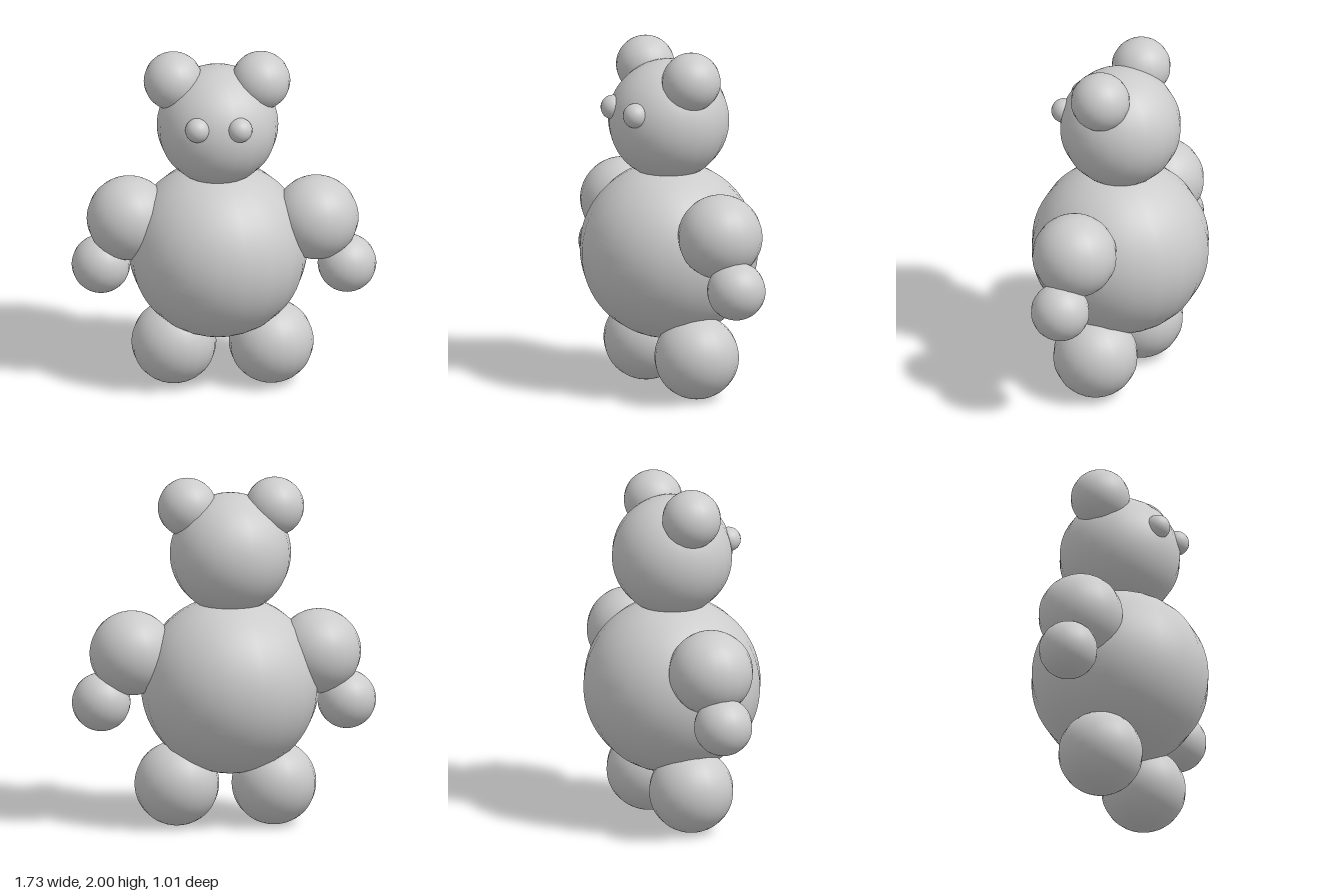
import * as THREE from 'three';

export function createModel() {
  const group = new THREE.Group();
  const material = new THREE.MeshStandardMaterial({ color: 0xcccccc });

  const ball = (name, r, x, y, z = 0) => {
    const mesh = new THREE.Mesh(new THREE.SphereGeometry(r, 20, 40), material);
    mesh.name = name;
    mesh.position.set(x, y, z);
    group.add(mesh);
  };

  // Torso and head sit slightly off centre
  ball('body', 0.506, -0.037, 0.81);
  ball('head', 0.344, -0.039, 1.567);

  // Paired parts: name, radius, left x, right x, y, z
  const pairs = [
    ['Ear', 0.167, 0.206, -0.29, 1.833, 0],
    ['Eye', 0.07, 0.085, -0.156, 1.65, 0.298],
    ['Arm', 0.24, 0.52, -0.54, 0.997, 0],
    ['Hand', 0.166, 0.694, -0.699, 0.717, 0],
    ['Leg', 0.24, 0.265, -0.286, 0.243, 0],
  ];
  for (const [name, r, leftX, rightX, y, z] of pairs) {
    ball('left' + name, r, leftX, y, z);
    ball('right' + name, r, rightX, y, z);
  }

  return group;
}
